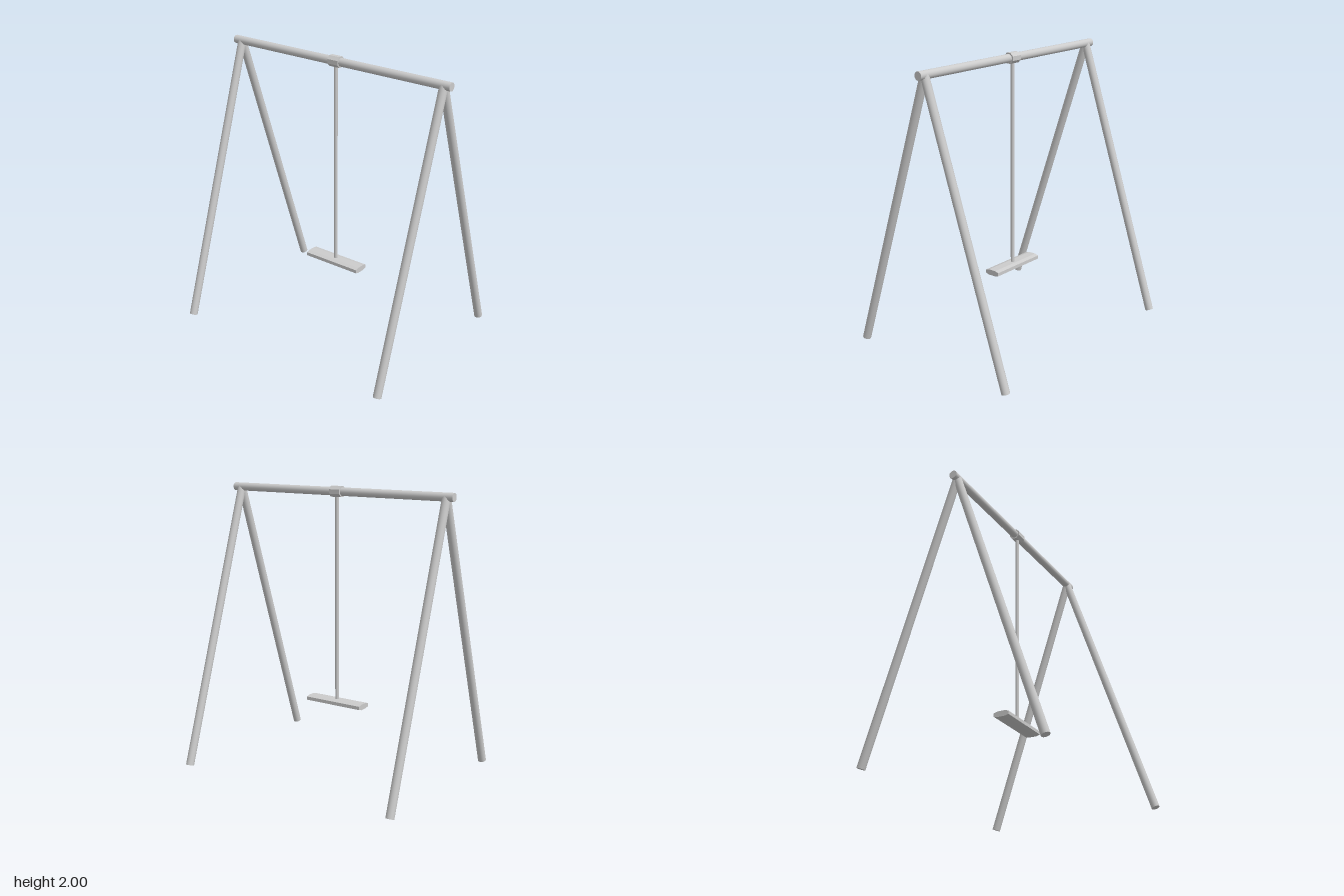
import * as THREE from 'three';

export function createModel() {
  const swing = new THREE.Group();
  swing.name = 'swing';
  const material = new THREE.MeshStandardMaterial({ color: 0xcccccc });
  const faceted = new THREE.MeshStandardMaterial({ color: 0xcccccc, flatShading: true });
  const BEAM_Y = 1.963;

  function add(name, geometry, mat = material) {
    const mesh = new THREE.Mesh(geometry, mat);
    mesh.name = name;
    swing.add(mesh);
    return mesh;
  }

  // Round bar running from one point to another
  function bar(name, from, to, radius, sides) {
    const axis = to.clone().sub(from);
    const mesh = add(name, new THREE.CylinderGeometry(radius, radius, axis.length(), sides));
    mesh.position.copy(from).add(to).multiplyScalar(0.5);
    mesh.quaternion.setFromUnitVectors(new THREE.Vector3(0, 1, 0), axis.normalize());
    return mesh;
  }

  // Top beam
  bar('topBeam', new THREE.Vector3(0, BEAM_Y, -0.9), new THREE.Vector3(0, BEAM_Y, 0.9), 0.029, 20);

  // Two A-frames of splayed legs
  for (const [end, z] of [['front', 0.843], ['back', -0.843]]) {
    for (const [side, s] of [['Left', 1], ['Right', -1]]) {
      bar(`${end}${side}Leg`, new THREE.Vector3(s * 0.645, 0.009, z),
        new THREE.Vector3(0, BEAM_Y, z), 0.029, 20);
    }
  }

  // Eight-sided collar around the middle of the beam
  const collarGeometry = new THREE.CylinderGeometry(0.04, 0.04, 0.085, 8);
  collarGeometry.rotateY(Math.PI / 8).rotateX(Math.PI / 2);
  add('collar', collarGeometry, faceted).position.y = BEAM_Y;

  // Hanging rod
  bar('hangingRod', new THREE.Vector3(0, 0.47, 0), new THREE.Vector3(0, BEAM_Y, 0), 0.0135, 16);

  // Seat board with bevelled long edges
  const profile = new THREE.Shape([
    [-0.028, -0.02], [0.028, -0.02], [0.056, -0.012], [0.056, 0.012],
    [0.028, 0.02], [-0.028, 0.02], [-0.056, 0.012], [-0.056, -0.012],
  ].map(([x, y]) => new THREE.Vector2(x, y)));
  const seat = add('seat', new THREE.ExtrudeGeometry(profile, { depth: 0.45, bevelEnabled: false }), faceted);
  seat.position.set(0, 0.47, -0.225);

  return swing;
}
